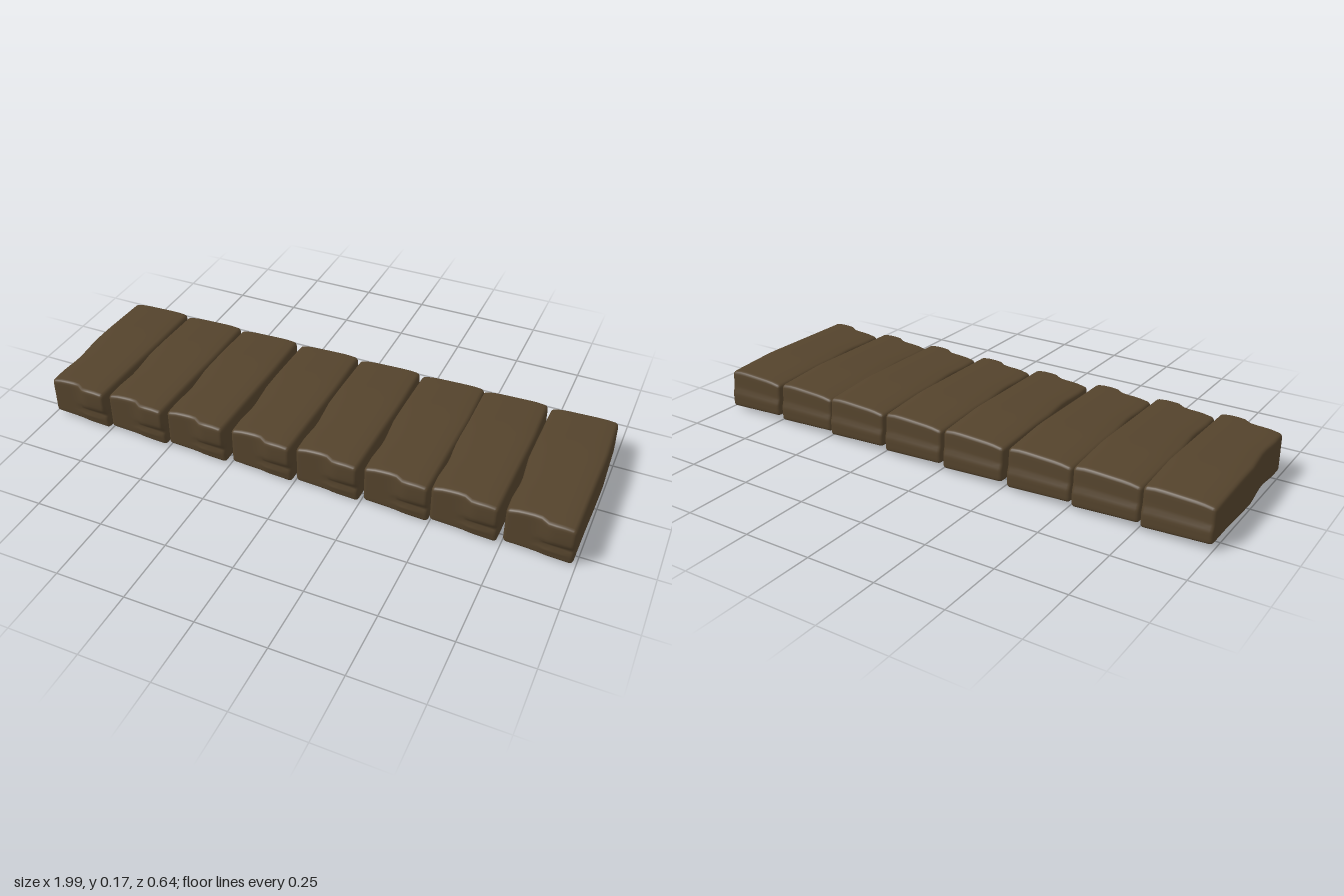
import * as THREE from 'three';
import { mergeVertices } from 'three/addons/utils/BufferGeometryUtils.js';

const HX = 0.125, HY = 0.08, HZ = 0.31, R = 0.014;

// Linear interpolation through [position, value] pairs
function lookup(table, p) {
  if (p <= table[0][0]) return table[0][1];
  for (let i = 1; i < table.length; i++) {
    const [a, va] = table[i - 1], [b, vb] = table[i];
    if (p <= b) return va + (vb - va) * (p - a) / (b - a);
  }
  return table[table.length - 1][1];
}

// Grid positions along one axis: tight rows at the rounded edges, even rows between
function stops(h, n) {
  const inner = h - R;
  const list = [-h, -h + R * 0.5];
  for (let i = 0; i <= n; i++) list.push(-inner + 2 * inner * i / n);
  return [...list, h - R * 0.5, h];
}

// Hand-hewn unevenness, as heights and offsets along the plank
const TOP = [[-0.31, 0.159], [-0.09, 0.169], [0.31, 0.17]];
const BOTTOM = [[-0.31, 0.013], [-0.2, 0.013], [-0.09, 0.006], [0.02, 0.002], [0.15, 0.008], [0.28, 0.004]];
const LEFT_EDGE = [[-0.3, 0], [0, 0], [0.13, 0.013], [0.22, 0.006], [0.3, 0.008]];
const RIGHT_EDGE = [[-0.3, -0.008], [-0.1, 0], [0.13, -0.004], [0.3, -0.006]];
const TOP_SLOPE = [[-1, -0.014], [-0.6, -0.005], [0.4, 0], [0.8, 0], [1, -0.006]];
// Broken front end and worn back end, by height
const FRONT = [[0.01, 0.3], [0.035, 0.302], [0.05, 0.308], [0.064, 0.297], [0.09, 0.318], [0.12, 0.32], [0.17, 0.32]];
const BACK = [[0.015, -0.319], [0.07, -0.32], [0.09, -0.312], [0.16, -0.308]];

function plankGeometry() {
  const axes = [stops(HX, 8), stops(HY, 10), stops(HZ, 16)];
  const seg = axes.map(a => a.length - 1);
  let geo = new THREE.BoxGeometry(1, 1, 1, ...seg);
  geo.deleteAttribute('uv');
  geo.deleteAttribute('normal');
  geo = mergeVertices(geo, 1e-5);
  const pos = geo.attributes.position;
  const p = new THREE.Vector3(), core = new THREE.Vector3();
  const lim = new THREE.Vector3(HX - R, HY - R, HZ - R);
  const low = lim.clone().negate();
  for (let i = 0; i < pos.count; i++) {
    p.fromBufferAttribute(pos, i);
    p.set(...p.toArray().map((c, k) => axes[k][Math.round((c + 0.5) * seg[k])]));
    // Round the edges
    core.copy(p).clamp(low, lim);
    p.sub(core).setLength(R).add(core);
    const u = p.x / HX, s = (p.y / HY + 1) / 2;
    // Uneven top and bottom, thinner towards the right-hand side
    const top = lookup(TOP, p.z) + lookup(TOP_SLOPE, u);
    const bottom = lookup(BOTTOM, p.z) + 0.006 * (1 - u);
    const y = bottom + (top - bottom) * s;
    // Wavy long sides
    const x = p.x + lookup(LEFT_EDGE, p.z) * (1 - u) / 2 + lookup(RIGHT_EDGE, p.z) * (1 + u) / 2;
    // Stepped front end, worn back end
    const step = THREE.MathUtils.smoothstep(u, -0.1, 0.3);
    const front = THREE.MathUtils.lerp(0.296, lookup(FRONT, y), step);
    const wf = THREE.MathUtils.clamp((p.z - 0.24) / 0.06, 0, 1);
    const wb = THREE.MathUtils.clamp((-p.z - 0.24) / 0.06, 0, 1);
    const z = p.z + wf * (front - HZ) + wb * (lookup(BACK, y) + HZ);
    pos.setXYZ(i, x, y, z);
  }
  geo.computeVertexNormals();
  return geo;
}

export function createModel() {
  const group = new THREE.Group();
  group.name = 'plankRow';
  const wood = new THREE.MeshStandardMaterial({ color: 0x54432c });
  wood.name = 'darkWood';
  const geo = plankGeometry();
  // Eight planks side by side, slightly unevenly spaced
  const centres = [-0.875, -0.63, -0.385, -0.126, 0.125, 0.377, 0.616, 0.87];
  centres.forEach((x, i) => {
    const plank = new THREE.Mesh(geo, wood);
    plank.name = `plank${i + 1}`;
    plank.position.x = x;
    group.add(plank);
  });
  return group;
}
